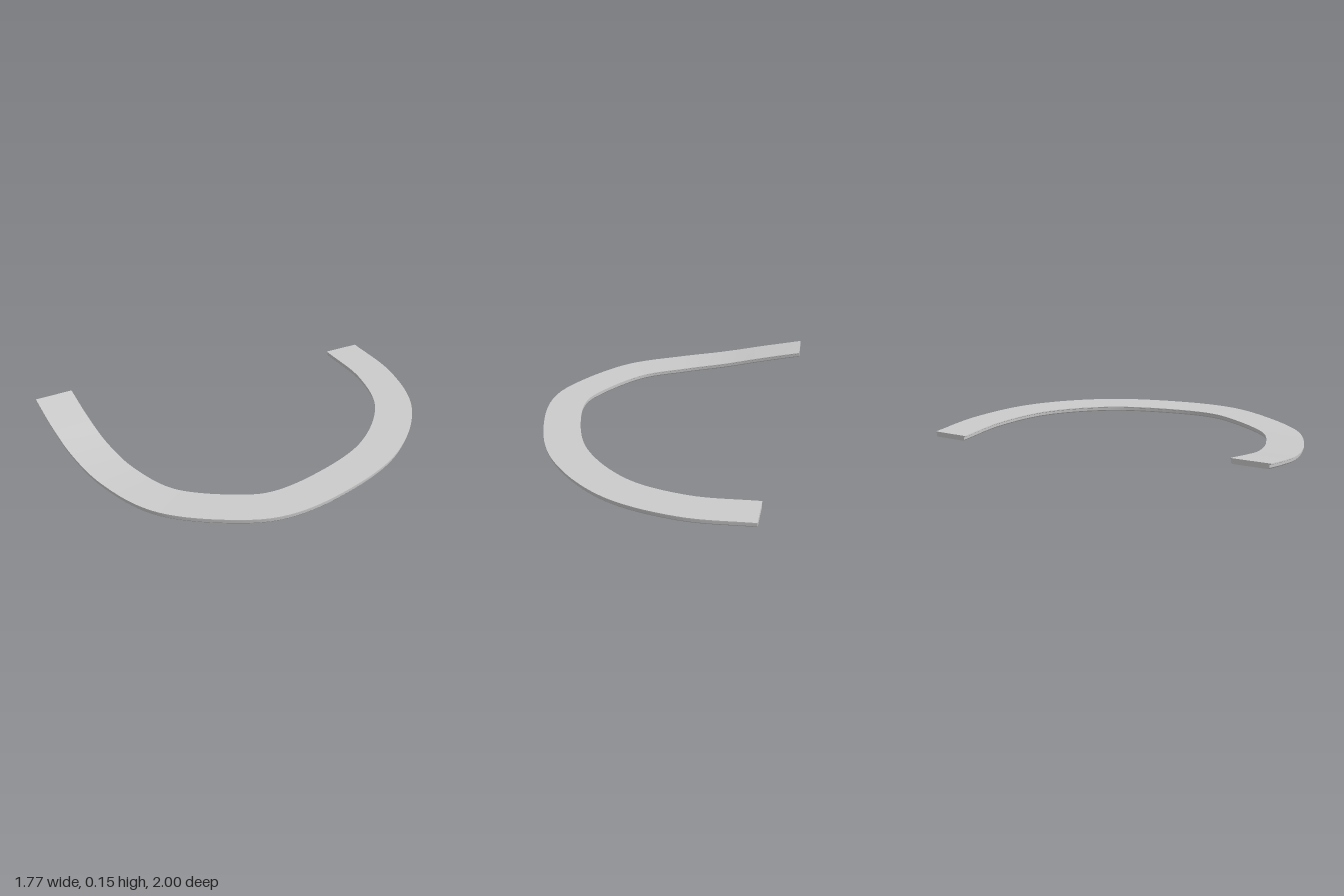
import * as THREE from 'three';

const STEPS = 96;

// Centreline of the band's top face: x, y, z
const PATH = [
  [0.145, 0.034, -0.915], [0.45, 0.034, -0.72], [0.69, 0.036, -0.43], [0.785, 0.036, 0],
  [0.69, 0.033, 0.43], [0.575, 0.03, 0.65], [0.45, 0.028, 0.755], [0.1, 0.028, 0.897],
  [-0.2, 0.039, 0.86], [-0.44, 0.066, 0.77], [-0.645, 0.109, 0.665], [-0.84, 0.153, 0.55],
].map((p) => new THREE.Vector3(...p));

// Cross-section, counter-clockwise: thin lip at the top, softened lower edge
const half = [[0.088, -0.028], [0.093, -0.022], [0.094, -0.008], [0.099, -0.005], [0.099, 0]];
const SECTION = [...half, ...half.map(([u, v]) => [-u, v]).reverse()];

// Level cross-sections along the path
function makeRings() {
  const curve = new THREE.CatmullRomCurve3(PATH);
  const rings = [];
  for (let i = 0; i <= STEPS; i++) {
    const p = curve.getPointAt(i / STEPS);
    const t = curve.getTangentAt(i / STEPS).setY(0).normalize();
    rings.push(SECTION.map(([u, v]) => new THREE.Vector3(p.x + t.z * u, p.y + v, p.z - t.x * u)));
  }
  return rings;
}

function toGeometry(points, index) {
  const g = new THREE.BufferGeometry().setFromPoints(points);
  g.setIndex(index);
  g.computeVertexNormals();
  return g;
}

// One lengthwise face of the band, smooth along its run
function faceStrip(rings, j) {
  const k = (j + 1) % SECTION.length;
  const points = rings.flatMap((r) => [r[j], r[k]]);
  const index = [];
  for (let i = 0; i < STEPS; i++) {
    const a = 2 * i;
    index.push(a, a + 1, a + 2, a + 1, a + 3, a + 2);
  }
  return toGeometry(points, index);
}

// Flat end of the band
function endCap(ring, flip) {
  const n = ring.length;
  const centre = new THREE.Vector3();
  ring.forEach((p) => centre.addScaledVector(p, 1 / n));
  const index = [];
  for (let j = 0; j < n; j++) {
    const k = (j + 1) % n;
    index.push(n, flip ? k : j, flip ? j : k);
  }
  return toGeometry([...ring, centre], index);
}

export function createModel() {
  const model = new THREE.Group();
  model.name = 'curvedBand';
  const material = new THREE.MeshStandardMaterial({ color: 0xcccccc });
  const add = (name, geometry) => {
    const mesh = new THREE.Mesh(geometry, material);
    mesh.name = name;
    model.add(mesh);
  };

  const rings = makeRings();
  const names = [
    'outerBevel', 'outerSide', 'outerLipUnderside', 'outerLip', 'topFace',
    'innerLip', 'innerLipUnderside', 'innerSide', 'innerBevel', 'bottomFace',
  ];
  names.forEach((name, j) => add(name, faceStrip(rings, j)));
  add('backEnd', endCap(rings[0], true));
  add('raisedEnd', endCap(rings[STEPS], false));

  // Stand on the ground, centred
  const box = new THREE.Box3().setFromObject(model);
  const c = box.getCenter(new THREE.Vector3());
  model.children.forEach((m) => m.position.set(-c.x, -box.min.y, -c.z));
  return model;
}
